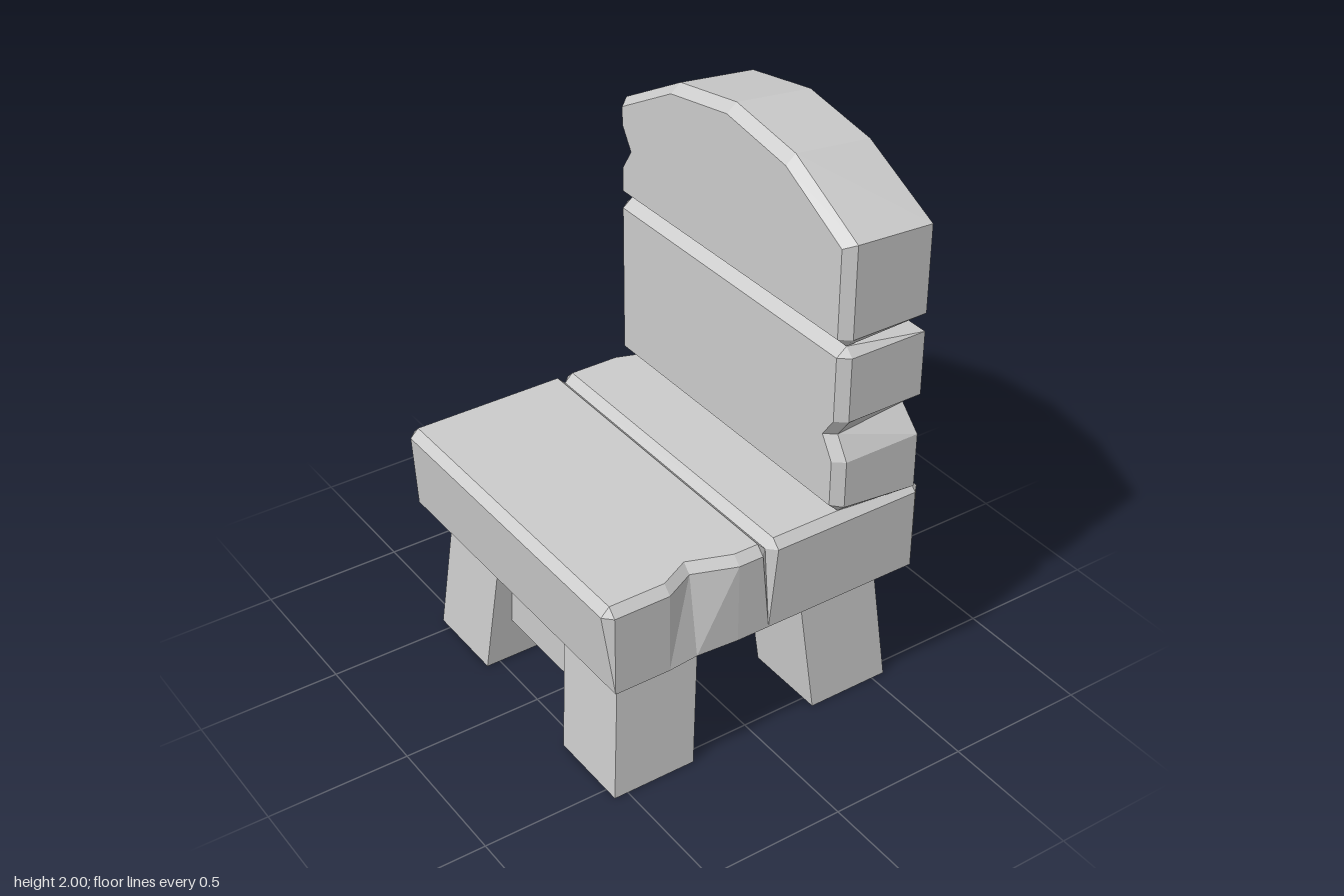
import * as THREE from 'three';

const { clamp } = THREE.MathUtils;

// Skin a stack of matching outlines [[u, v], ...] at heights w, closed by caps.
// place(u, v, w) turns them into x, y, z (right-handed).
function loft(name, levels, place) {
  const n = levels[0].pts.length;
  const pos = [], index = [];
  for (const { pts, w } of levels) for (const [u, v] of pts) pos.push(...place(u, v, w));
  for (let l = 0; l < levels.length - 1; l++) {
    for (let i = 0; i < n; i++) {
      const a = l * n + i, b = l * n + (i + 1) % n;
      index.push(a, b, b + n, a, b + n, a + n);
    }
  }
  const cap = (l, flip) => {
    const shape = levels[l].pts.map(([u, v]) => new THREE.Vector2(u, v));
    for (const [a, b, c] of THREE.ShapeUtils.triangulateShape(shape, [])) {
      index.push(l * n + a, l * n + (flip ? c : b), l * n + (flip ? b : c));
    }
  };
  cap(0, true);
  cap(levels.length - 1, false);
  const indexed = new THREE.BufferGeometry();
  indexed.setAttribute('position', new THREE.Float32BufferAttribute(pos, 3));
  indexed.setIndex(index);
  const geo = indexed.toNonIndexed();
  geo.computeVertexNormals();
  const mesh = new THREE.Mesh(geo, new THREE.MeshStandardMaterial({ color: 0xcccccc, flatShading: true }));
  mesh.name = name;
  return mesh;
}

// Seat plank from x = -0.61 to 0 with a chipped front end;
// the corner cuts fade out towards the underside
function seatPlank(name, [n0, n1, n2]) {
  const mid = [
    [-0.58, -0.61], [n0, -0.61], [n1, -0.555], [n2, -0.61], [-0.03, -0.61], [0, -0.58],
    [0, 0.58], [-0.03, 0.61], [-0.58, 0.61], [-0.61, 0.58], [-0.61, -0.58],
  ];
  const base = mid.map(([u, v], i) => [
    u < -0.575 ? -0.58 : u > -0.035 ? 0 : u,
    i === 2 ? -0.6 : Math.sign(v) * 0.61,
  ]);
  const top = mid.map(([u, v], i) => [
    clamp(u, -0.58, -0.03),
    i === 2 ? v + 0.03 : clamp(v, -0.58, 0.58),
  ]);
  return loft(name, [{ pts: base, w: 0.49 }, { pts: mid, w: 0.78 }, { pts: top, w: 0.81 }],
    (u, v, w) => [u, w, -v]);
}

// Backrest board: outlines in (z, y), stacked from the outer face to the seat side
function backBoard(name, base, mid, top) {
  return loft(name, [{ pts: base, w: -0.57 }, { pts: mid, w: -0.285 }, { pts: top, w: -0.248 }],
    (u, v, w) => [-w, v, u]);
}

function lowerBackBoard() {
  const mid = [
    [-0.58, 0.81], [0.58, 0.81], [0.61, 0.84], [0.61, 1.01], [0.56, 1.09], [0.61, 1.16],
    [0.61, 1.39], [0.58, 1.42], [-0.58, 1.42], [-0.61, 1.39], [-0.61, 0.84],
  ];
  const base = mid.map(([u, v], i) => [
    i === 4 ? 0.53 : Math.sign(u) * 0.61,
    v < 0.85 ? 0.81 : Math.min(v, 1.39),
  ]);
  const top = mid.map(([u, v], i) => [
    i === 4 ? u - 0.03 : clamp(u, -0.58, 0.58),
    clamp(v, 0.845, 1.39),
  ]);
  return backBoard('lowerBackBoard', base, mid, top);
}

function upperBackBoard() {
  const mid = [
    [-0.58, 1.42], [0.58, 1.42], [0.61, 1.455], [0.61, 1.78], [0.3, 1.95], [0, 2],
    [-0.3, 1.95], [-0.61, 1.78], [-0.61, 1.7], [-0.56, 1.62], [-0.61, 1.54], [-0.61, 1.455],
  ];
  const lower = (v) => Math.max(v > 1.75 ? v - (v > 1.8 ? 0.03 : 0.015) : v, 1.455);
  const base = mid.map(([u, v], i) => [
    i === 9 ? -0.53 : Math.abs(u) > 0.5 ? Math.sign(u) * 0.61 : u,
    lower(v),
  ]);
  const top = mid.map(([u, v], i) => [
    i === 9 ? u + 0.03 : clamp(u, -0.58, 0.58),
    lower(v),
  ]);
  return backBoard('upperBackBoard', base, mid, top);
}

// Square leg leaning outwards on both axes
function leg(sx, sz) {
  const square = (c) => [[-1, -1], [1, -1], [1, 1], [-1, 1]]
    .map(([u, v]) => [sx * c + u * 0.153, -sz * c + v * 0.153]);
  return loft('leg', [{ pts: square(0.397), w: 0 }, { pts: square(0.352), w: 0.5 }],
    (u, v, w) => [u, w, -v]);
}

export function createModel() {
  const model = new THREE.Group();
  model.name = 'chair';

  // Seat
  const rearPlank = seatPlank('rearSeatPlank', [-0.54, -0.37, -0.21]);
  rearPlank.rotation.y = Math.PI;
  model.add(seatPlank('frontSeatPlank', [-0.38, -0.27, -0.12]), rearPlank);

  // Backrest
  model.add(lowerBackBoard(), upperBackBoard());

  // Legs and the stretchers joining each pair
  for (const sx of [-1, 1]) {
    for (const sz of [-1, 1]) model.add(leg(sx, sz));
    const stretcher = new THREE.Mesh(
      new THREE.BoxGeometry(0.16, 0.16, 0.56),
      new THREE.MeshStandardMaterial({ color: 0xcccccc, flatShading: true }),
    );
    stretcher.name = 'stretcher';
    stretcher.position.set(sx * 0.375, 0.25, 0);
    model.add(stretcher);
  }
  return model;
}
